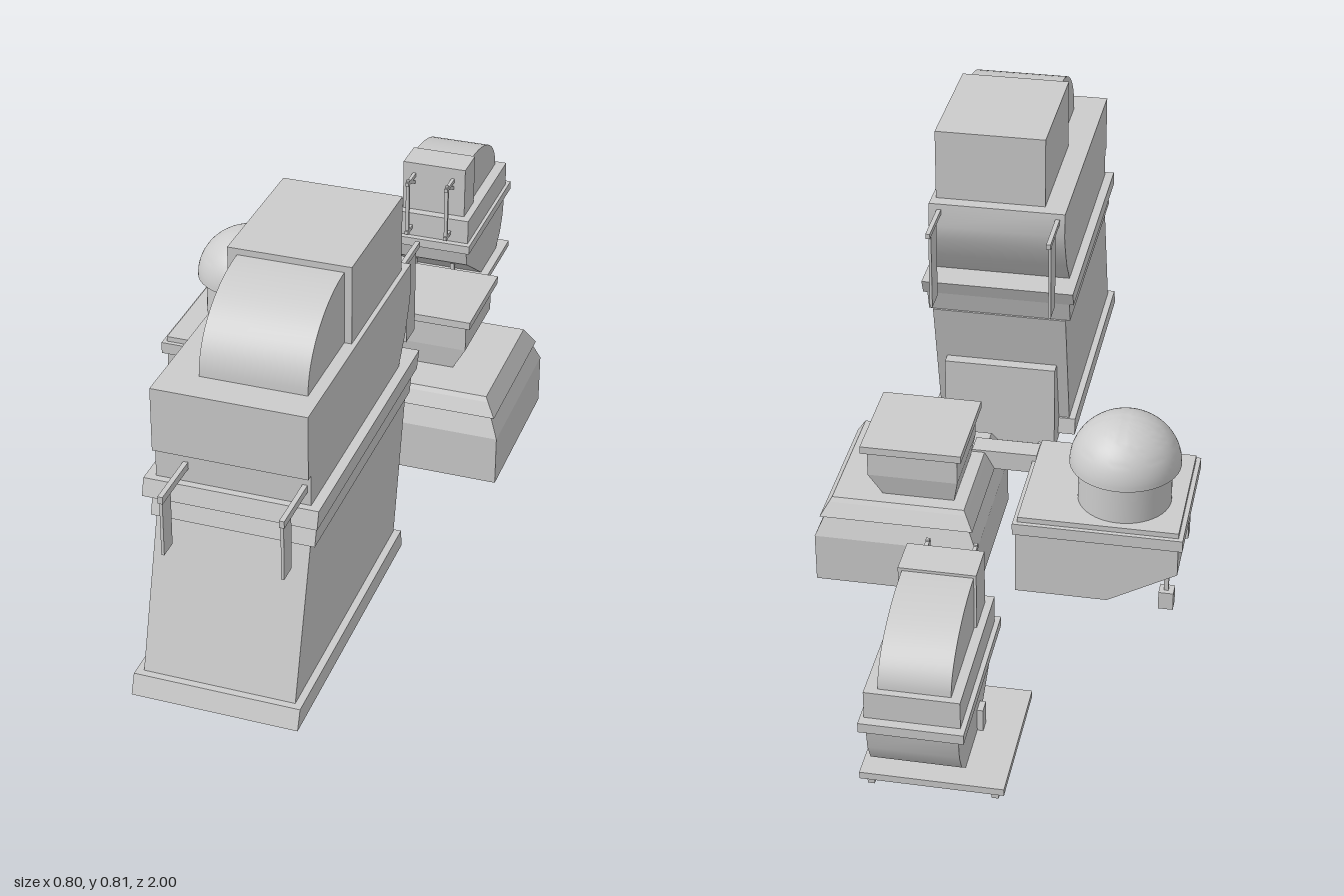
import * as THREE from 'three';
import { toCreasedNormals } from 'three/addons/utils/BufferGeometryUtils.js';

const grey = new THREE.MeshStandardMaterial({ color: 0xcccccc });

function add(group, name, geometry) {
  const mesh = new THREE.Mesh(geometry, grey);
  mesh.name = name;
  group.add(mesh);
  return mesh;
}

// Box given by its limits on each axis
function box(group, name, x0, x1, y0, y1, z0, z1) {
  const g = new THREE.BoxGeometry(x1 - x0, y1 - y0, z1 - z0);
  g.translate((x0 + x1) / 2, (y0 + y1) / 2, (z0 + z1) / 2);
  return add(group, name, g);
}

// Box whose bottom and top rectangles [x0, x1, z0, z1] differ
function taper(group, name, y0, y1, bottom, top) {
  const g = new THREE.BoxGeometry(1, 1, 1);
  const p = g.attributes.position;
  for (let i = 0; i < p.count; i++) {
    const r = p.getY(i) > 0 ? top : bottom;
    p.setXYZ(i, p.getX(i) > 0 ? r[1] : r[0], p.getY(i) > 0 ? y1 : y0, p.getZ(i) > 0 ? r[3] : r[2]);
  }
  g.computeVertexNormals();
  return add(group, name, g);
}

function extrude(points, depth) {
  const shape = new THREE.Shape(points.map(([u, v]) => new THREE.Vector2(u, v)));
  return new THREE.ExtrudeGeometry(shape, { depth, bevelEnabled: false });
}

// Side profile of [z, y] points, swept from x0 to x1
function sideProfile(group, name, points, x0, x1) {
  const g = extrude(points.map(([z, y]) => [-z, y]), x1 - x0);
  g.rotateY(Math.PI / 2).translate(x0, 0, 0);
  return add(group, name, toCreasedNormals(g, 0.5));
}

// Points along an elliptic arc, angles in quarter turns
function arc(cz, cy, rz, ry, from, to, n = 16) {
  return Array.from({ length: n + 1 }, (_, i) => {
    const a = (from + (to - from) * i / n) * Math.PI / 2;
    return [cz + rz * Math.cos(a), cy + ry * Math.sin(a)];
  });
}

function tallHall() {
  const g = new THREE.Group();
  g.name = 'tallHall';
  box(g, 'foundation', -0.025, 0.235, 0, 0.016, 0.285, 0.9);
  box(g, 'rearAnnex', -0.025, 0.235, 0.016, 0.22, 0.3, 0.45);
  sideProfile(g, 'plinth', [[1, 0.015], [0.355, 0.015], [0.36, 0.055], [0.985, 0.055]], -0.065, 0.275);
  sideProfile(g, 'leaningBody', [[0.97, 0.055], [0.365, 0.055], [0.295, 0.36], [0.88, 0.36]], -0.05, 0.26);
  sideProfile(g, 'corniceBand', [[0.885, 0.36], [0.3, 0.36], [0.285, 0.41], [0.87, 0.41]], -0.06, 0.27);
  sideProfile(g, 'cornice', [[0.9, 0.41], [0.285, 0.41], [0.27, 0.445], [0.89, 0.445]], -0.07, 0.28);
  // Upper storey with its rounded rear underside
  sideProfile(g, 'upperStorey', [
    [0.89, 0.645], [0.89, 0.51], [0.875, 0.51], [0.875, 0.445], [0.345, 0.445],
    [0.305, 0.5], [0.282, 0.55], [0.27, 0.59], [0.275, 0.645]], -0.05, 0.26);
  box(g, 'roofBlock', 0, 0.25, 0.645, 0.81, 0.305, 0.615);
  sideProfile(g, 'curvedRoof', [[0.61, 0.645], ...arc(0.61, 0.645, 0.21, 0.152, 0, 1)], 0.02, 0.235);
  // Hanging panels on arms, front and rear
  for (const x of [0.008, 0.245]) {
    box(g, 'frontArm', x - 0.002, x + 0.008, 0.473, 0.488, 0.87, 1);
    box(g, 'frontPanel', x - 0.003, x + 0.003, 0.352, 0.475, 0.95, 0.99);
  }
  for (const x of [-0.033, 0.237]) {
    box(g, 'rearArm', x - 0.005, x + 0.005, 0.62, 0.632, 0.155, 0.3);
    box(g, 'rearPanel', x - 0.003, x + 0.003, 0.435, 0.62, 0.175, 0.232);
  }
  return g;
}

function domedHouse() {
  const g = new THREE.Group();
  g.name = 'domedHouse';
  // Body with a sloping underside on one side
  const body = extrude([[-0.39, 0.175], [-0.39, 0.105], [-0.24, 0.02], [-0.04, 0.02], [-0.04, 0.175]], 0.305);
  body.translate(0, 0, -0.285);
  add(g, 'body', body);
  box(g, 'eaves', -0.4, -0.035, 0.173, 0.2, -0.295, 0.03);
  box(g, 'roof', -0.39, -0.045, 0.2, 0.212, -0.285, 0.02);
  add(g, 'drum', new THREE.CylinderGeometry(0.101, 0.101, 0.1, 48)).position.set(-0.258, 0.257, -0.167);
  add(g, 'dome', toCreasedNormals(new THREE.LatheGeometry(
    [[0, 0], ...arc(0, 0, 0.12, 0.111, 0, 1, 20)].map(([r, y]) => new THREE.Vector2(Math.max(r, 0), y)), 48), 0.5))
    .position.set(-0.258, 0.304, -0.167);
  // Round window and door
  const window = add(g, 'roundWindow', new THREE.CylinderGeometry(0.014, 0.014, 0.006, 32));
  window.rotation.x = Math.PI / 2;
  window.position.set(-0.258, 0.109, 0.02);
  add(g, 'windowFrame', new THREE.TorusGeometry(0.0175, 0.0035, 8, 32)).position.set(-0.258, 0.109, 0.021);
  box(g, 'door', -0.155, -0.127, 0.022, 0.076, 0.015, 0.026);
  // Hanging weights
  for (const z of [-0.265, 0.002]) {
    box(g, 'weightRod', -0.371, -0.361, 0.05, 0.11, z - 0.005, z + 0.005);
    box(g, 'weight', -0.383, -0.351, 0.01, 0.052, z - 0.016, z + 0.016);
  }
  box(g, 'bridge', -0.045, 0.1, 0.17, 0.215, -0.05, 0);
  return g;
}

function squareHouse() {
  const g = new THREE.Group();
  g.name = 'squareHouse';
  const wide = [0.04, 0.395, -0.31, 0.06];
  taper(g, 'lowerBody', 0.013, 0.125, wide, wide);
  taper(g, 'shoulder', 0.125, 0.172, wide, [0.06, 0.375, -0.292, 0.042]);
  taper(g, 'eaves', 0.17, 0.2, [0.05, 0.385, -0.3, 0.05], [0.066, 0.367, -0.284, 0.036]);
  taper(g, 'roof', 0.2, 0.21, [0.066, 0.367, -0.284, 0.036], [0.072, 0.361, -0.278, 0.03]);
  taper(g, 'penthouseBase', 0.21, 0.262, [0.1, 0.257, -0.245, -0.065], [0.09, 0.286, -0.257, -0.058]);
  box(g, 'penthouse', 0.09, 0.286, 0.262, 0.325, -0.257, -0.058);
  box(g, 'penthouseRoof', 0.079, 0.298, 0.323, 0.34, -0.27, -0.046);
  box(g, 'door', 0.113, 0.141, 0.02, 0.075, 0.05, 0.067);
  return g;
}

function stiltHouse() {
  const g = new THREE.Group();
  g.name = 'stiltHouse';
  box(g, 'platform', -0.145, 0.14, 0.04, 0.055, -0.965, -0.66);
  for (const x of [-0.125, 0.12]) for (const z of [-0.945, -0.68])
    box(g, 'foot', x - 0.007, x + 0.007, 0.02, 0.042, z - 0.007, z + 0.007);
  // Hull with a straight front rake and a rounded rear
  sideProfile(g, 'hull', [[-0.635, 0.187], [-0.645, 0.145], [-0.78, 0.055], [-0.915, 0.055],
    [-0.95, 0.085], [-0.97, 0.125], [-0.98, 0.187]], -0.06, 0.12);
  box(g, 'ledge', -0.075, 0.13, 0.185, 0.206, -1, -0.625);
  box(g, 'upperStorey', -0.065, 0.122, 0.206, 0.266, -0.98, -0.64);
  box(g, 'roofBlock', -0.05, 0.105, 0.266, 0.39, -0.745, -0.662);
  sideProfile(g, 'curvedRoof', [[-0.74, 0.266], ...arc(-0.74, 0.266, 0.225, 0.118, 1, 2)], -0.045, 0.097);
  box(g, 'door', -0.072, -0.055, 0.055, 0.105, -0.8, -0.77);
  // Front poles and brackets
  for (const x of [-0.022, 0.075]) {
    box(g, 'stilt', x - 0.005, x + 0.005, 0.055, 0.165, -0.683, -0.673);
    box(g, 'pole', x - 0.004, x + 0.004, 0.222, 0.368, -0.615, -0.607);
    box(g, 'upperArm', x - 0.004, x + 0.004, 0.355, 0.364, -0.665, -0.602);
    box(g, 'lowerArm', x - 0.004, x + 0.004, 0.225, 0.234, -0.645, -0.602);
    sideProfile(g, 'brace', [[-0.607, 0.368], [-0.607, 0.36], [-0.664, 0.335], [-0.664, 0.343]], x - 0.003, x + 0.003);
  }
  return g;
}

export function createModel() {
  const model = new THREE.Group();
  model.name = 'buildingSet';
  model.add(tallHall(), domedHouse(), squareHouse(), stiltHouse());
  return model;
}
